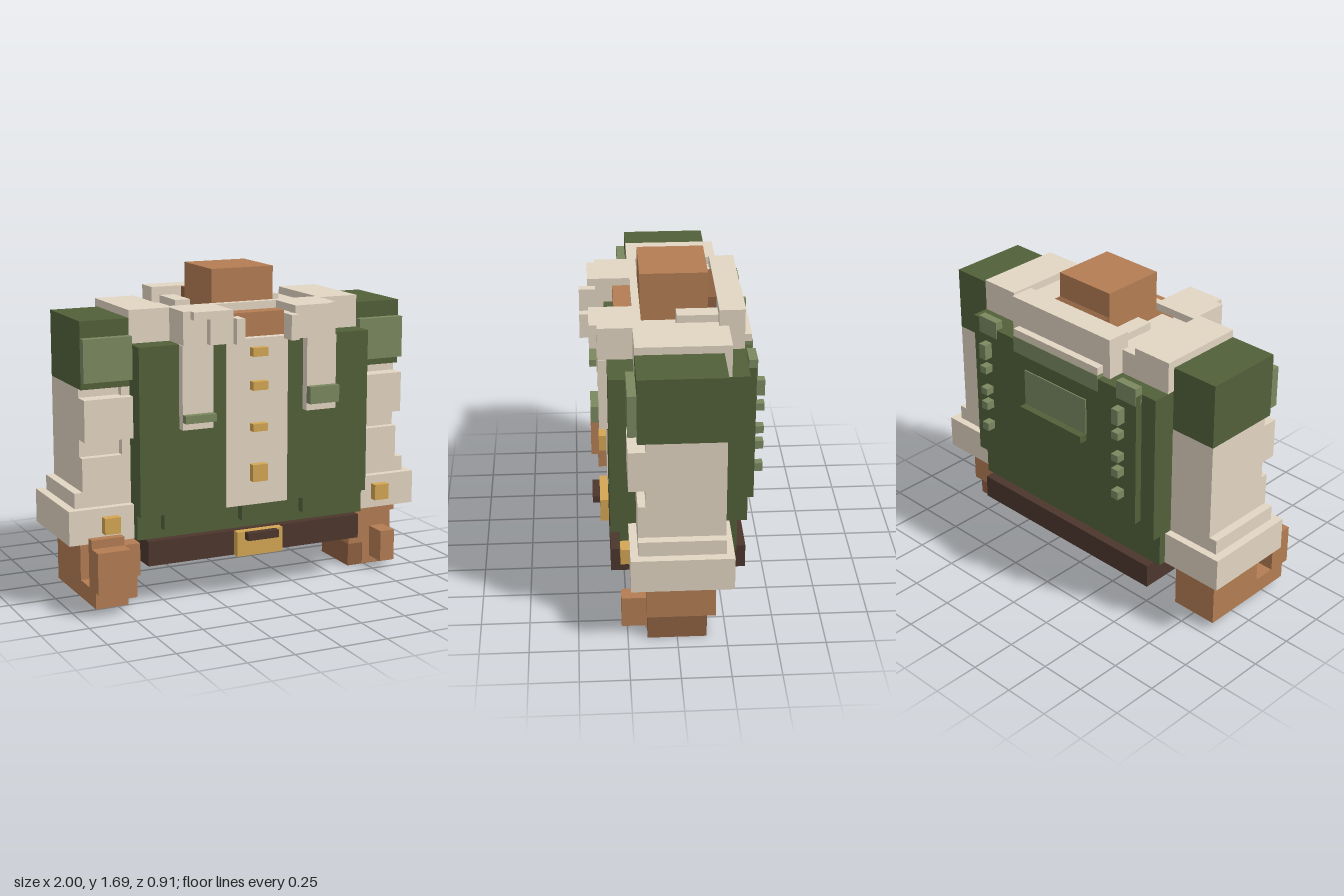
import * as THREE from 'three';

const mat = (name, color) => {
  const m = new THREE.MeshStandardMaterial({ color });
  m.name = name;
  return m;
};

export function createModel() {
  const root = new THREE.Group();
  root.name = 'blockyJacketTorso';
  const green = mat('darkGreen', 0x526039), light = mat('lightGreen', 0x7a8860);
  const beige = mat('beige', 0xe2d5c2), brown = mat('brown', 0xb37d53);
  const tan = mat('darkTan', 0x8e6141), gold = mat('gold', 0xd4a653);
  const dark = mat('beltBrown', 0x4d362d);

  // Box given by its minimum and maximum on each axis
  const box = (name, m, x0, x1, y0, y1, z0, z1) => {
    const mesh = new THREE.Mesh(new THREE.BoxGeometry(x1 - x0, y1 - y0, z1 - z0), m);
    mesh.position.set((x0 + x1) / 2, (y0 + y1) / 2, (z0 + z1) / 2);
    mesh.name = name;
    root.add(mesh);
  };
  // The same box on both sides
  const pair = (name, m, x0, x1, ...r) => {
    box(name + 'Left', m, x0, x1, ...r);
    box(name + 'Right', m, -x1, -x0, ...r);
  };
  // Box centred on x = 0
  const mid = (name, m, w, ...r) => box(name, m, -w, w, ...r);

  // Jacket body with a notched front hem
  mid('jacketHem', green, 0.65, 0.35, 0.53, -0.32, 0.28);
  mid('jacketBody', green, 0.65, 0.53, 1.35, -0.37, 0.28);
  mid('jacketFront', green, 0.65, 0.48, 1.35, 0.28, 0.325);
  pair('hemTab', green, 0.27, 0.52, 0.4, 0.48, 0.28, 0.325);
  mid('hemTabMiddle', green, 0.085, 0.4, 0.48, 0.28, 0.325);

  // Shirt front and buttons
  mid('placket', beige, 0.175, 0.48, 1.355, 0.28, 0.33);
  for (const [y0, y1] of [[1.265, 1.31], [1.09, 1.135], [0.875, 0.915], [0.61, 0.7]])
    mid('shirtButton', gold, 0.042, y0, y1, 0.325, 0.37);

  // Belt and buckle
  mid('belt', dark, 0.61, 0.22, 0.35, -0.37, 0.325);
  mid('buckle', gold, 0.13, 0.22, 0.35, 0.325, 0.37);
  mid('buckleTongue', dark, 0.088, 0.31, 0.35, 0.37, 0.41);

  // Neck and chest
  mid('neck', brown, 0.175, 1.35, 1.695, -0.195, 0.15);
  mid('nape', tan, 0.175, 1.35, 1.56, -0.24, -0.195);
  mid('chest', brown, 0.175, 1.35, 1.48, 0.15, 0.28);

  // Shoulders: high outer yoke, lower inner strip, sunken collar base
  pair('shoulderYoke', beige, 0.43, 0.65, 1.35, 1.52, -0.28, 0.195);
  pair('innerYoke', beige, 0.3, 0.43, 1.35, 1.48, -0.28, 0.195);
  pair('collarBase', beige, 0.175, 0.3, 1.35, 1.44, -0.24, 0.195);
  pair('collarSide', beige, 0.215, 0.3, 1.44, 1.52, -0.24, -0.03);
  mid('collarBack', beige, 0.345, 1.35, 1.565, -0.37, -0.24);
  mid('collarBackLower', beige, 0.3, 1.37, 1.41, -0.41, -0.37);
  mid('collarFrontBar', beige, 0.3, 1.48, 1.52, 0.15, 0.19);

  // Lapels with hanging straps
  pair('lapelTop', beige, 0.175, 0.43, 1.48, 1.52, 0.15, 0.37);
  pair('lapelBlock', beige, 0.26, 0.43, 1.35, 1.48, 0.19, 0.37);
  pair('lapelFrontTop', beige, 0.175, 0.39, 1.48, 1.52, 0.37, 0.41);
  pair('lapelFront', beige, 0.175, 0.3, 1.35, 1.48, 0.37, 0.41);
  pair('lapelTip', beige, 0.13, 0.175, 1.35, 1.48, 0.37, 0.455);
  box('lapelStrapLeft', beige, 0.265, 0.435, 0.96, 1.35, 0.325, 0.37);
  box('lapelStrapRight', beige, -0.435, -0.265, 0.92, 1.35, 0.325, 0.37);
  box('strapEndLeft', light, 0.265, 0.435, 1.0, 1.09, 0.37, 0.41);
  box('strapEndRight', light, -0.435, -0.265, 0.96, 1.0, 0.37, 0.41);

  // Back panel, patch and studs
  mid('backPanel', green, 0.56, 0.61, 1.35, -0.41, -0.37);
  mid('backBand', light, 0.3, 1.28, 1.37, -0.415, -0.37);
  pair('backTab', light, 0.43, 0.56, 1.3, 1.395, -0.414, -0.37);
  mid('backPatch', light, 0.22, 1.0, 1.2, -0.417, -0.41);
  mid('patchLedge', green, 0.22, 0.96, 1.0, -0.455, -0.41);
  for (const [y0, y1] of [[1.175, 1.26], [1.09, 1.13], [0.96, 1.0], [0.87, 0.915], [0.74, 0.785]]) {
    box('backStudLeft', light, 0.475, 0.52, y0, y1, -0.457, -0.41);
    box('backStudRight', light, -0.482, -0.437, y0, y1, -0.457, -0.41);
  }

  // Sleeves with folds on the front
  pair('shoulderCap', green, 0.65, 0.91, 1.135, 1.48, -0.24, 0.195);
  pair('shoulderPatch', light, 0.65, 0.91, 1.175, 1.395, 0.195, 0.24);
  pair('sleeve', beige, 0.65, 0.91, 0.61, 1.135, -0.24, 0.155);
  pair('sleeveInner', beige, 0.65, 0.695, 0.785, 1.135, 0.155, 0.195);
  pair('sleeveFoldTop', beige, 0.65, 0.91, 0.875, 1.09, 0.155, 0.24);
  pair('sleeveFoldBottom', beige, 0.65, 0.91, 0.61, 0.785, 0.155, 0.195);
  pair('cuffStep', beige, 0.65, 0.955, 0.53, 0.61, -0.24, 0.195);
  pair('cuff', beige, 0.65, 1.0, 0.35, 0.53, -0.28, 0.235);
  pair('cuffButton', gold, 0.74, 0.825, 0.4, 0.485, 0.235, 0.28);

  // Left hand, open and pointing down
  box('leftHand', brown, 0.65, 0.91, 0.13, 0.35, -0.195, 0.155);
  box('leftWrist', brown, 0.65, 0.91, 0.31, 0.35, 0.155, 0.195);
  box('leftFingers', tan, 0.65, 0.91, 0.005, 0.13, -0.15, 0.15);
  box('leftMiddleFinger', brown, 0.735, 0.83, 0.01, 0.135, 0.15, 0.158);
  box('leftThumb', brown, 0.78, 0.865, 0.05, 0.22, 0.155, 0.28);

  // Right hand, curled into a fist
  box('rightHand', brown, -0.915, -0.655, 0.05, 0.35, -0.195, 0.155);
  box('rightFingersLower', brown, -0.915, -0.74, 0.05, 0.14, 0.155, 0.37);
  box('rightFingersFront', brown, -0.915, -0.74, 0.135, 0.35, 0.28, 0.41);
  box('rightFingersTop', brown, -0.915, -0.74, 0.35, 0.395, 0.28, 0.325);
  box('rightPalm', brown, -0.74, -0.655, 0.05, 0.18, 0.155, 0.28);
  box('rightThumb', brown, -0.74, -0.655, 0.18, 0.35, 0.155, 0.325);
  return root;
}
